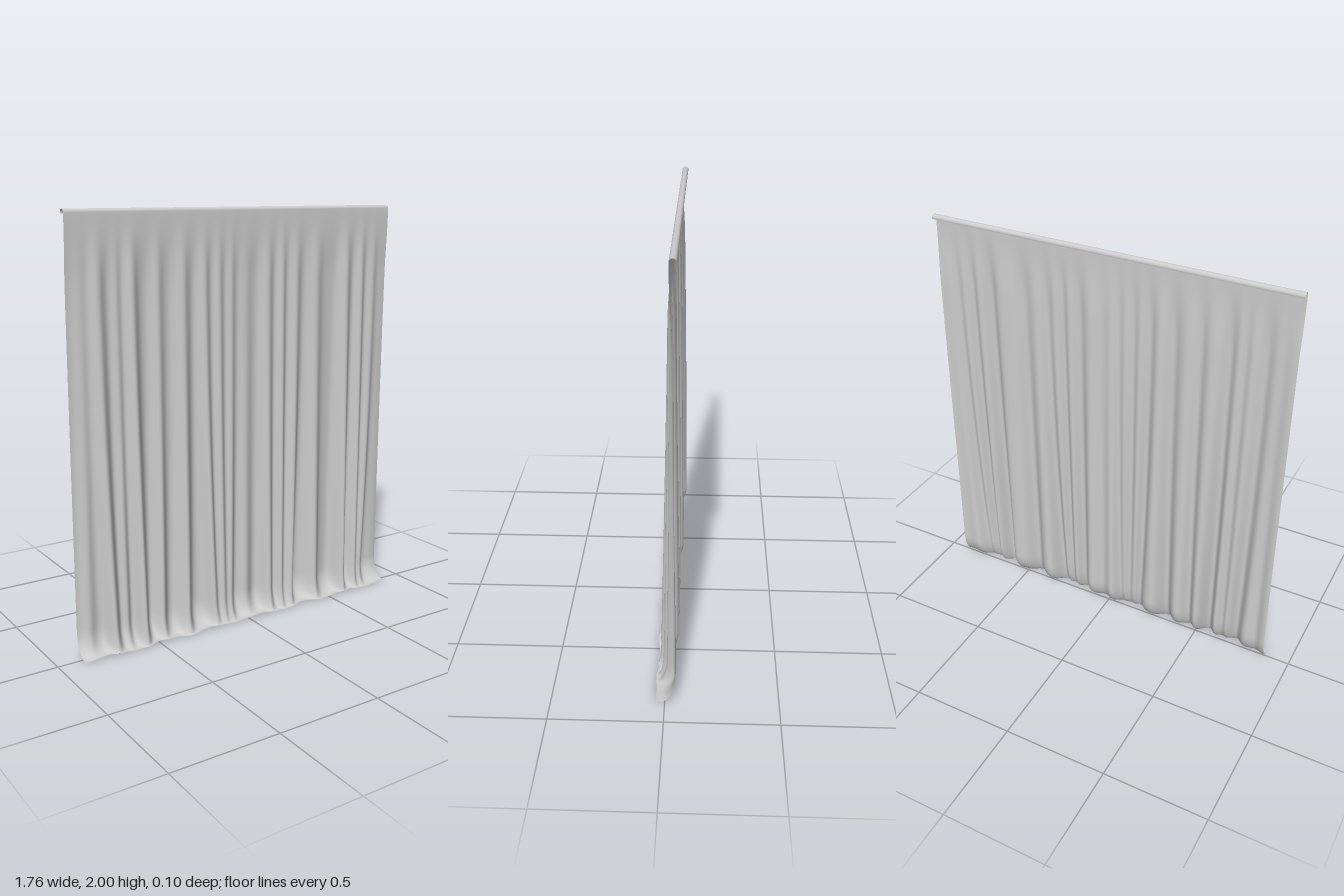
import * as THREE from 'three';

// Folds: [x near the top, x at the bottom, depth, half width]
const FOLDS = [
  [-0.82, -0.83, 0.25, 0.025],
  [-0.74, -0.71, 1.0, 0.03],
  [-0.65, -0.64, 0.55, 0.022],
  [-0.58, -0.56, 1.0, 0.028],
  [-0.45, -0.46, 0.7, 0.026],
  [-0.32, -0.33, 0.9, 0.032],
  [-0.21, -0.17, 0.8, 0.026],
  [-0.13, -0.12, 0.75, 0.024],
  [-0.06, -0.075, 0.6, 0.022],
  [0.02, 0.02, 0.3, 0.03],
  [0.14, 0.145, 0.85, 0.03],
  [0.225, 0.215, 0.8, 0.022],
  [0.31, 0.27, 0.9, 0.028],
  [0.43, 0.43, 0.85, 0.034],
  [0.61, 0.60, 1.0, 0.03],
  [0.71, 0.69, 0.9, 0.024],
  [0.79, 0.735, 0.6, 0.024],
];
const HALF_WIDTH = 0.88, TOP = 1.985, CURL = 0.13, ROLL = 0.015;

// Forward bulge of the cloth, 0 to about 1, at one height
function foldAt(x, y) {
  const drop = Math.pow(1 - y / 2, 2.2);
  let flat = 1;
  for (const [top, bottom, depth, width] of FOLDS) {
    const d = (x - THREE.MathUtils.lerp(top, bottom, drop)) / width;
    flat *= 1 - depth * Math.exp(-d * d * 0.7) * 0.98;
  }
  return 1 - flat + 0.05 * Math.sin(x * 31 + 1) + 0.04 * Math.sin(x * 53);
}

// Hanging cloth: flat at the top, deepening toward the floor
function drapeZ(x, y) {
  const t = THREE.MathUtils.clamp((TOP - y) / TOP, 0, 1);
  const grow = THREE.MathUtils.smoothstep(t, 0, 0.16);
  const back = -0.02 - 0.029 * grow * Math.pow(t, 0.45);
  return back + foldAt(x, y) * grow * (0.018 + 0.058 * t);
}

// Front edge of the hem lying on the floor
function hemZ(x) {
  return 0.037 + 0.012 * foldAt(x, 0) + 0.003 * Math.sin(x * 17);
}

// Position on the sheet: hook over the rail, drape, then curl along the floor
const HOOK_ROWS = 12, DRAPE_ROWS = 60, CURL_ROWS = 16;
function sheetPoint(x, row, out) {
  if (row <= HOOK_ROWS) {
    const a = Math.PI * (1.12 - 1.12 * row / HOOK_ROWS);
    return out.set(x, TOP + ROLL * Math.sin(a), -0.02 - ROLL + ROLL * Math.cos(a));
  }
  if (row <= HOOK_ROWS + DRAPE_ROWS) {
    const y = THREE.MathUtils.lerp(TOP, CURL, (row - HOOK_ROWS) / DRAPE_ROWS);
    return out.set(x, y, drapeZ(x, y));
  }
  const t = (row - HOOK_ROWS - DRAPE_ROWS) / CURL_ROWS;
  const a = t * Math.PI / 2;
  const lip = 0.008 * Math.pow(t, 4) * (1 + Math.sin(x * 23) * 0.6);
  const y = 0.001 + (CURL - 0.001) * (1 - Math.sin(a)) + lip;
  const z = THREE.MathUtils.lerp(drapeZ(x, y), hemZ(x), 1 - Math.cos(a));
  return out.set(x, y, z);
}

export function createModel() {
  const cloth = new THREE.MeshStandardMaterial({ color: 0xcccccc, side: THREE.DoubleSide });
  cloth.name = 'cloth';

  const columns = 320, rows = HOOK_ROWS + DRAPE_ROWS + CURL_ROWS;
  const geometry = new THREE.PlaneGeometry(HALF_WIDTH * 2, 2, columns, rows);
  const position = geometry.attributes.position;
  const p = new THREE.Vector3();
  for (let i = 0; i < position.count; i++) {
    sheetPoint(position.getX(i), Math.floor(i / (columns + 1)), p);
    position.setXYZ(i, p.x, p.y, p.z);
  }
  geometry.computeVertexNormals();

  const curtain = new THREE.Mesh(geometry, cloth);
  curtain.name = 'curtain';
  const group = new THREE.Group();
  group.name = 'drapedCurtain';
  group.add(curtain);
  return group;
}
